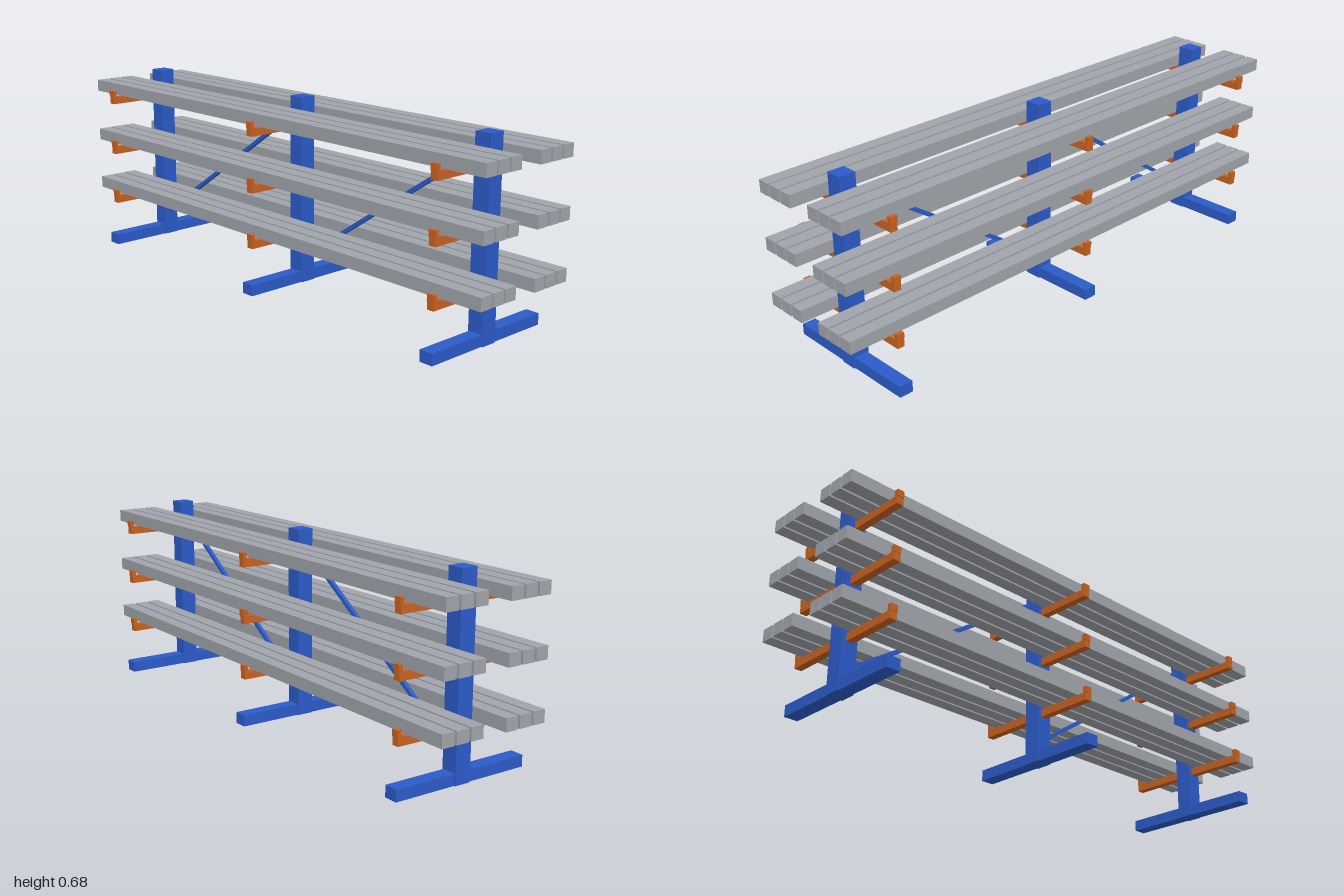
import * as THREE from 'three';

const mat = (name, color) => {
  const m = new THREE.MeshStandardMaterial({ color });
  m.name = name;
  return m;
};

export function createModel() {
  const rack = new THREE.Group();
  rack.name = 'cantileverRack';
  const blue = mat('blueFrame', 0x2b5bc9);
  const orange = mat('orangeArms', 0xc96222);
  const steel = mat('greySteel', 0xa0a5ab);

  const box = (name, material, size, pos) => {
    const mesh = new THREE.Mesh(new THREE.BoxGeometry(...size), material);
    mesh.name = name;
    mesh.position.set(...pos);
    rack.add(mesh);
    return mesh;
  };

  const columns = [-0.84, 0, 0.84];
  const levels = [0.195, 0.395, 0.595]; // top surface of the arms

  // Uprights with their feet and arms
  for (const x of columns) {
    box('column', blue, [0.06, 0.68, 0.06], [x, 0.34, 0]);
    for (const side of [1, -1]) {
      box('foot', blue, [0.05, 0.04, 0.23], [x, 0.02, side * 0.145]);
      for (const y of levels) {
        box('arm', orange, [0.026, 0.028, 0.216], [x, y - 0.014, side * 0.138]);
        box('armStop', orange, [0.026, 0.023, 0.015], [x, y + 0.011, side * 0.2405]);
      }
    }
  }

  // Stored bars, three on each side of every level
  for (const y of levels)
    for (const side of [1, -1])
      for (const z of [0.07, 0.1265, 0.183])
        box('storedBar', steel, [2, 0.044, 0.048], [0, y + 0.0225, side * z]);

  // One diagonal brace in each bay
  const rise = 0.56, run = 0.84;
  for (const x of [-0.42, 0.42]) {
    const brace = box('diagonalBrace', blue, [Math.hypot(run, rise), 0.014, 0.014], [x, 0.36, 0]);
    brace.rotation.z = Math.atan2(rise, run);
  }

  return rack;
}
